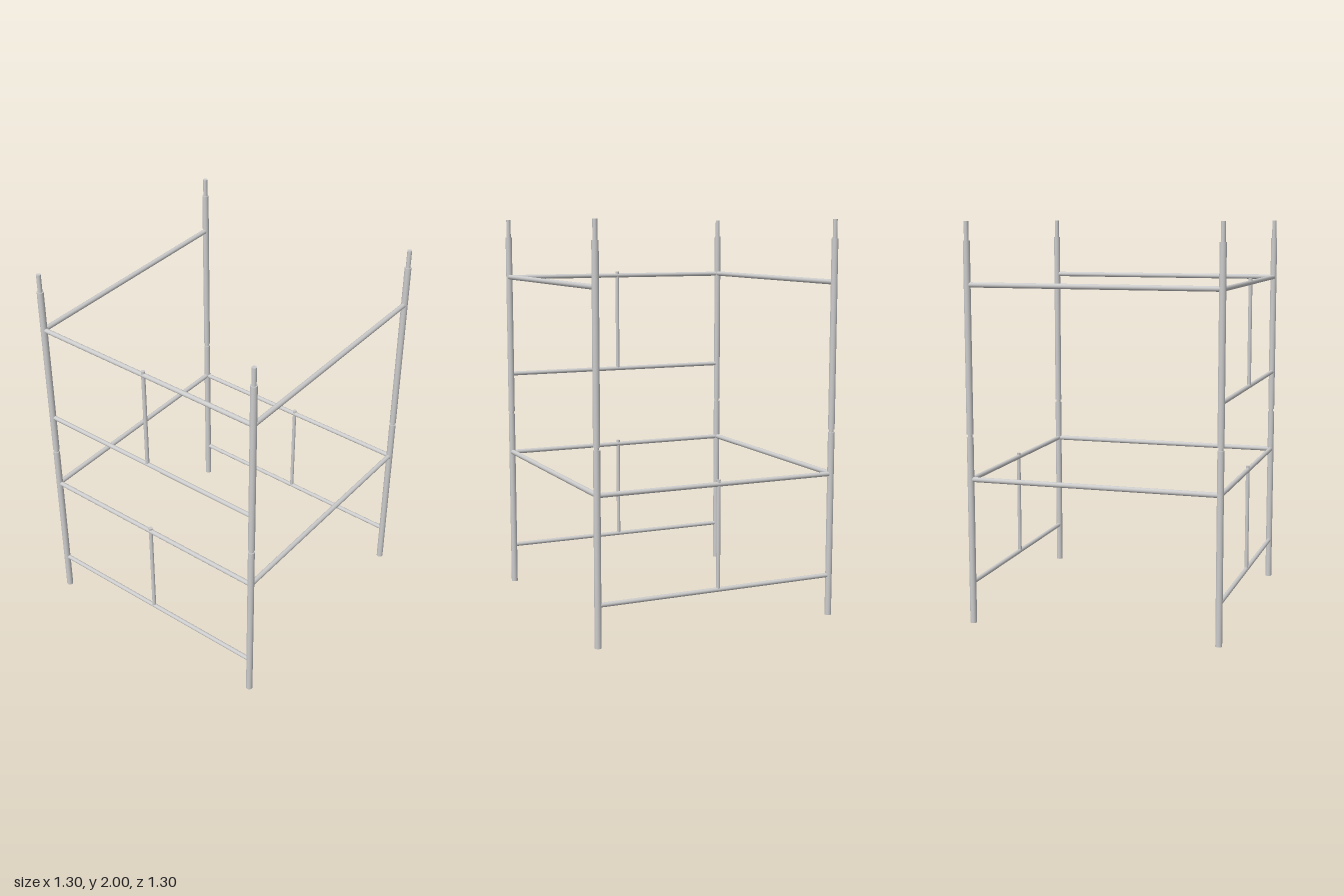
import * as THREE from 'three';

const HALF = 0.632;      // post centre line in x and z
const STOREY = 0.96;     // height of one stacked frame
const UP = new THREE.Vector3(0, 1, 0);

export function createModel() {
  const scaffold = new THREE.Group();
  scaffold.name = 'scaffoldTower';
  const steel = new THREE.MeshStandardMaterial({ color: 0xcccccc });

  // Round tube between two points
  function tube(name, parent, a, b, radius) {
    const start = new THREE.Vector3(...a), end = new THREE.Vector3(...b);
    const dir = end.clone().sub(start);
    const mesh = new THREE.Mesh(new THREE.CylinderGeometry(radius, radius, dir.length(), 16), steel);
    mesh.position.copy(start).add(end).multiplyScalar(0.5);
    mesh.quaternion.setFromUnitVectors(UP, dir.normalize());
    mesh.name = name;
    parent.add(mesh);
  }

  // Post with a narrower spigot on top that plugs into the post above
  function post(parent, x, z, y) {
    tube('post', parent, [x, y, z], [x, y + 0.946, z], 0.0168);
    tube('spigot', parent, [x, y + 0.93, z], [x, y + 1.04, z], 0.0115);
  }

  // Side frame: two rails along z joined by a central strut
  function sideFrame(parent, x, y) {
    tube('topRail', parent, [x, y + 0.733, -HALF], [x, y + 0.733, HALF], 0.0118);
    tube('bottomRail', parent, [x, y + 0.208, -HALF], [x, y + 0.208, HALF], 0.0112);
    tube('strut', parent, [x, y + 0.208, 0], [x, y + 0.755, 0], 0.0098);
  }

  for (let level = 0; level < 2; level++) {
    const y = level * STOREY;
    const storey = new THREE.Group();
    storey.name = level === 0 ? 'lowerStorey' : 'upperStorey';
    scaffold.add(storey);

    for (const side of [-1, 1]) {
      for (const end of [-1, 1]) post(storey, side * HALF, end * HALF, y);
      // The upper storey is open on the +x side
      if (level === 0 || side < 0) sideFrame(storey, side * HALF, y);
    }
    // Cross rails at front and back
    for (const end of [-1, 1]) {
      tube('crossRail', storey, [-HALF, y + 0.734, end * HALF], [HALF, y + 0.734, end * HALF], 0.0128);
    }
  }
  return scaffold;
}
